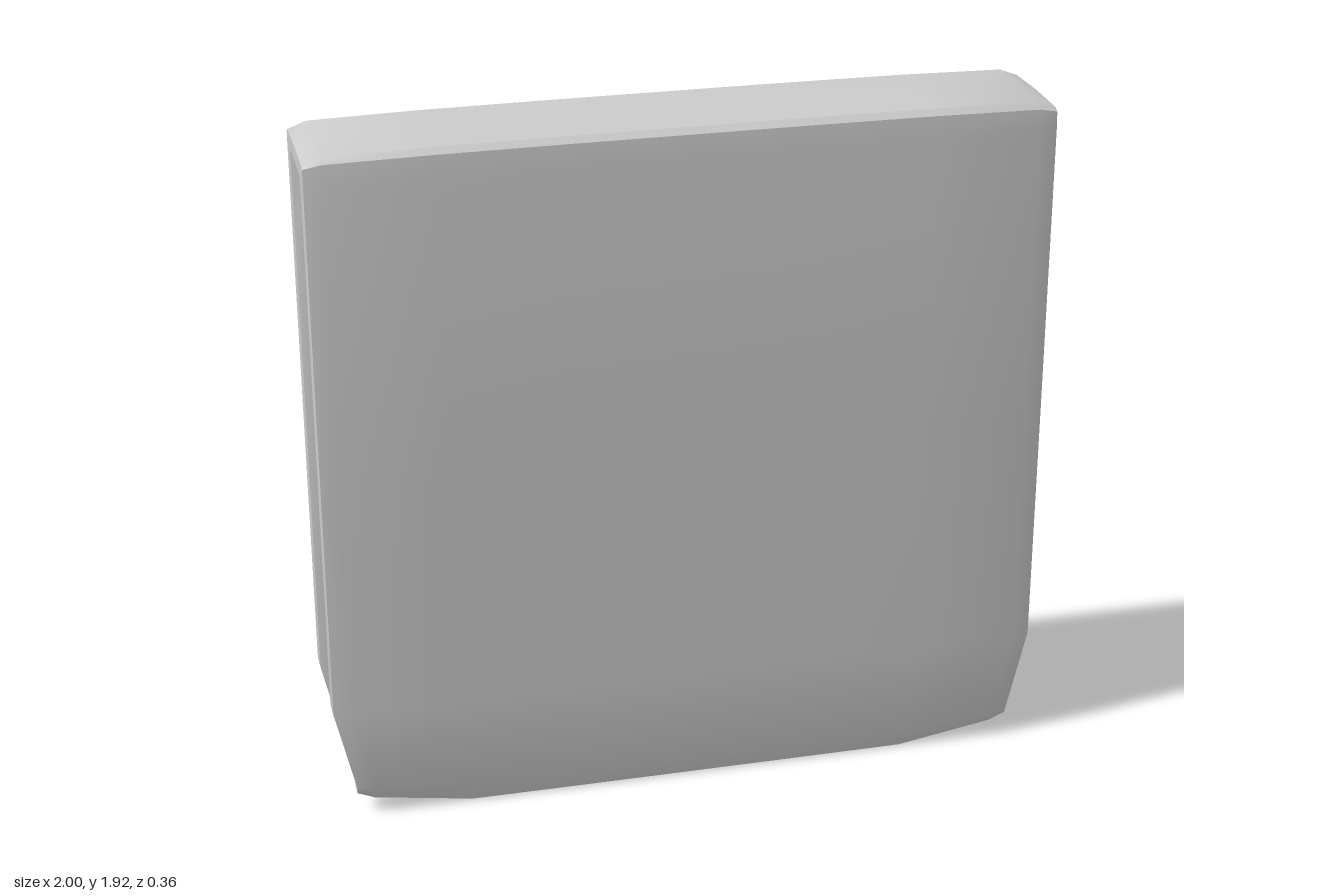
import * as THREE from 'three';
import { toCreasedNormals } from 'three/addons/utils/BufferGeometryUtils.js';

// Half profiles as [z, y], from the leg tip up to the middle of the fold
const outer = [[0.165, 0], [0.18, 0.055], [0.181, 0.32], [0.181, 1], [0.18, 1.84], [0.174, 1.898], [0.155, 1.913], [0, 1.92]];
const inner = [[0.11, 0], [0.092, 0.055], [0.09, 0.32], [0.086, 1], [0.078, 1.6], [0.068, 1.78], [0.042, 1.82], [0, 1.83]];
// The same stations on the bevelled open sides
const outerRim = [[0.157, 0.01], [0.167, 0.055], [0.168, 0.32], [0.168, 1], [0.166, 1.84], [0.163, 1.88], [0.15, 1.888], [0, 1.892]];
const innerRim = [[0.117, 0.01], [0.105, 0.055], [0.104, 0.32], [0.104, 1], [0.104, 1.6], [0.104, 1.835], [0.092, 1.845], [0, 1.85]];

// Mirrors a half profile to the back leg
const mirror = half => [...half, ...half.slice(0, -1).reverse().map(([z, y]) => [-z, y])];
// Closed loop: up and over the outside, back along the inside
const loop = (out, inn) => [...mirror(out), ...mirror(inn).reverse()];

function foldedPanelGeometry() {
  const columns = [-1, -0.95, -0.66, -0.33, 0, 0.33, 0.66, 0.95, 1];
  const body = loop(outer, inner), rim = loop(outerRim, innerRim);
  const n = body.length, positions = [], index = [];
  const quad = (a, b, c, d) => index.push(a, b, c, a, c, d);

  // Cross-sections from side to side
  columns.forEach(u => {
    const a = Math.abs(u);
    (a === 1 ? rim : body).forEach(([z, y]) => {
      const low = y < 0.1;
      const lift = low ? Math.max(0, (a - 0.66) / 0.34) * (y < 0.03 ? 0.05 : 0.025) : 0; // rounded lower corners
      const crown = y > 1.8 ? -0.008 * a ** 4 : 0; // slightly arched fold
      const bulge = a < 1 ? 1 - 0.025 * a ** 4 : 1;
      positions.push(u * (low ? 0.945 : 1), y + lift + (a < 1 ? crown : 0), z * bulge);
    });
  });

  // Skin between neighbouring cross-sections
  for (let j = 0; j < columns.length - 1; j++) {
    for (let i = 0; i < n; i++) {
      const k = (i + 1) % n, p = j * n, q = p + n;
      quad(p + i, q + i, q + k, p + k);
    }
  }

  // U-shaped side faces
  const last = (columns.length - 1) * n;
  for (let i = 0; i < n / 2 - 1; i++) {
    const o = i, o2 = i + 1, m = n - 1 - i, m2 = n - 2 - i;
    quad(last + o, last + m, last + m2, last + o2);
    quad(o, o2, m2, m);
  }

  const geometry = new THREE.BufferGeometry();
  geometry.setAttribute('position', new THREE.Float32BufferAttribute(positions, 3));
  geometry.setIndex(index);
  return toCreasedNormals(geometry, 0.55);
}

export function createModel() {
  const model = new THREE.Group();
  model.name = 'foldedCover';
  const panel = new THREE.Mesh(foldedPanelGeometry(), new THREE.MeshStandardMaterial({ color: 0xcccccc }));
  panel.name = 'foldedPanel';
  model.add(panel);
  return model;
}
